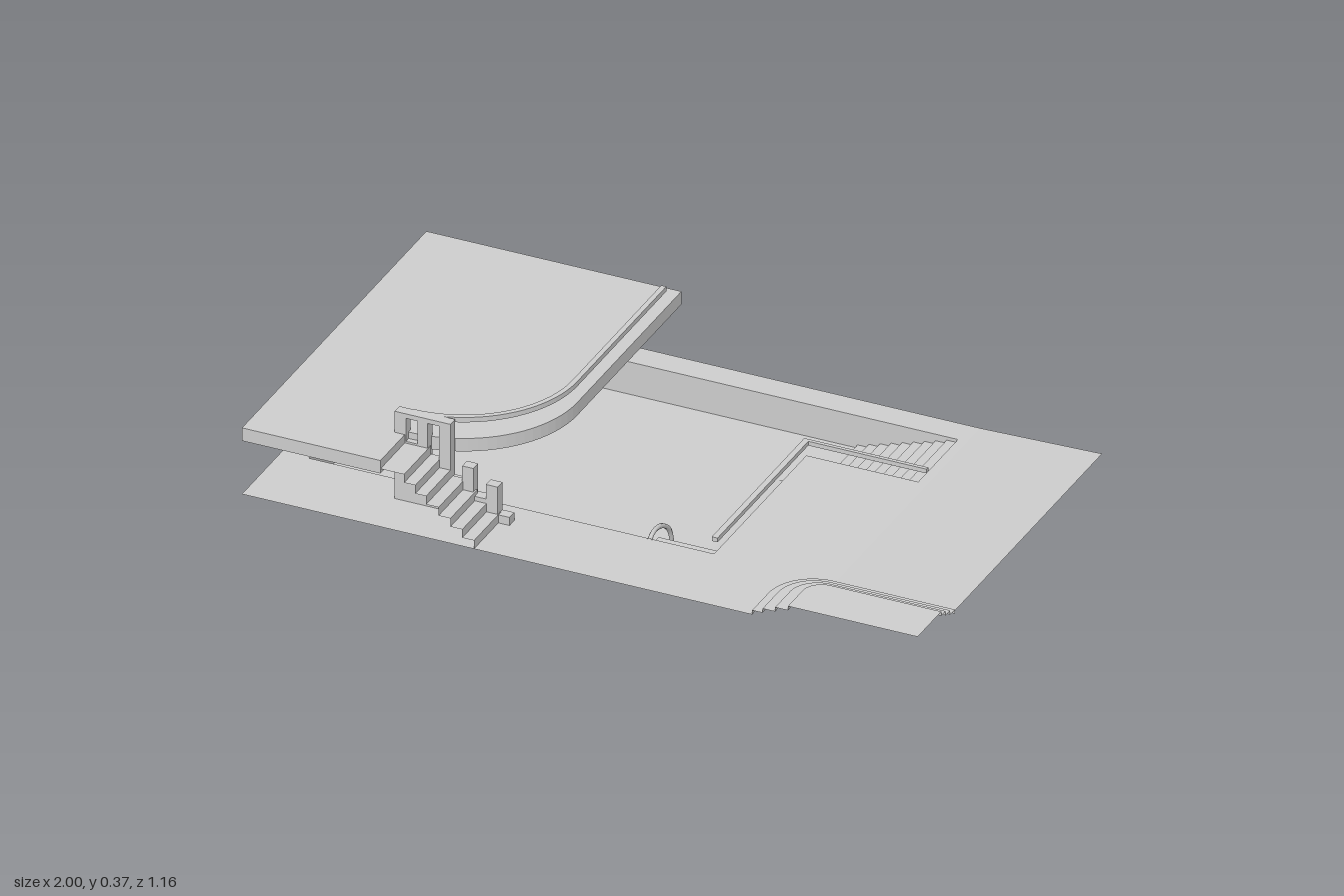
import * as THREE from 'three';

const concrete = new THREE.MeshStandardMaterial({ color: 0xcccccc, side: THREE.DoubleSide });
concrete.name = 'concrete';

export function createModel() {
  const model = new THREE.Group();

  function add(geometry, name) {
    const mesh = new THREE.Mesh(geometry, concrete);
    mesh.name = name;
    model.add(mesh);
    return mesh;
  }
  function box(name, x0, x1, y0, y1, z0, z1) {
    add(new THREE.BoxGeometry(x1 - x0, y1 - y0, z1 - z0), name)
      .position.set((x0 + x1) / 2, (y0 + y1) / 2, (z0 + z1) / 2);
  }
  // Plan outline given as [x, z]
  function planShape(points, hole) {
    const toV = ([x, z]) => new THREE.Vector2(x, -z);
    const shape = new THREE.Shape(points.map(toV));
    if (hole) shape.holes.push(new THREE.Path(hole.map(toV)));
    return shape;
  }
  function flat(name, points, y, hole) {
    const g = new THREE.ShapeGeometry(planShape(points, hole)).rotateX(-Math.PI / 2).translate(0, y, 0);
    return add(g, name);
  }
  function slab(name, points, y, height) {
    const g = new THREE.ExtrudeGeometry(planShape(points), { depth: height, bevelEnabled: false });
    add(g.rotateX(-Math.PI / 2).translate(0, y, 0), name);
  }
  // Open sheet lofted through rows of [x, y, z]
  function sheet(name, rows) {
    const n = rows[0].length, index = [];
    for (let r = 0; r < rows.length - 1; r++) {
      for (let c = 0; c < n - 1; c++) {
        const a = r * n + c, b = a + n;
        index.push(a, a + 1, b, b, a + 1, b + 1);
      }
    }
    const g = new THREE.BufferGeometry();
    g.setAttribute('position', new THREE.Float32BufferAttribute(rows.flat(2), 3));
    g.setIndex(index);
    g.computeVertexNormals();
    add(g, name);
  }
  // Each pair of rows becomes its own sheet, so step edges stay sharp
  function steps(name, rows) {
    for (let i = 0; i < rows.length - 1; i++) sheet(name, [rows[i], rows[i + 1]]);
  }
  function wall(name, x0, z0, x1, z1) {
    sheet(name, [[[x0, 0, z0], [x1, 0, z1]], [[x0, 0.1, z0], [x1, 0.1, z1]]]);
  }

  // Rounded corner terrace edges, outermost first
  const edges = [[0.51, 0.345], [0.541, 0.375], [0.578, 0.404], [0.616, 0.431]].map(([x, z], i) => {
    const r = 0.13 - 0.025 * i, pts = [[x, 0.58]];
    for (let k = 0; k <= 12; k++) {
      const a = (k / 12) * Math.PI / 2;
      pts.push([x + r - r * Math.cos(a), z + r - r * Math.sin(a)]);
    }
    pts.push([1, z]);
    return pts;
  });
  const terraceRows = [];
  edges.forEach((edge, i) => {
    for (const y of [0.1 + 0.013 * i, 0.113 + 0.013 * i]) {
      terraceRows.push(edge.map(([x, z]) => [x, y, z]));
    }
  });
  steps('terraceStep', terraceRows);
  flat('terraceTop', [...edges[3], [1, 0.58]], 0.152);

  // Ground with the pit opening; the right strip rises slightly
  const pit = [[-0.92, -0.5], [0.638, -0.5], [0.638, -0.25], [0.28, -0.25], [0.28, 0.33], [-0.92, 0.33]];
  flat('ground', [[-1, -0.58], [0.64, -0.58], ...edges[0].slice(0, -1).reverse(), [-1, 0.58]], 0.1, pit);
  sheet('groundRamp', [
    [[0.64, 0.1, -0.58], [1, 0.11, -0.58]],
    [[0.64, 0.1, 0.345], [1, 0.11, 0.345]],
  ]);

  // Pit walls and floor
  pit.forEach(([x, z], i) => {
    const [x1, z1] = pit[(i + 1) % pit.length];
    if (i !== 1) wall('pitWall', x, z, x1, z1);
  });
  flat('pitFloor', [[-0.92, -0.5], [0.31, -0.5], [0.31, -0.25], [0.28, -0.25], [0.28, 0.33], [-0.92, 0.33]], 0);

  // Curved banks along the front and right walls
  const frontBank = [], sideBank = [];
  for (let i = 0; i <= 14; i++) {
    const a = (i / 14) * Math.PI / 2;
    const out = 0.1 * (1 - Math.sin(a)), y = 0.1 * (1 - Math.cos(a));
    frontBank.push([[-0.92, y, 0.33 - out], [0.09, y, 0.33 - out]]);
    sideBank.push([[0.28 - out, y, -0.25], [0.28 - out, y, 0.33]]);
  }
  sheet('frontBank', frontBank);
  sheet('sideBank', sideBank);

  // Wide stair into the pit
  const wide = [];
  for (let i = 0; i < 10; i++) {
    const x = 0.314 + 0.033 * i;
    for (const y of [0.01 * i, 0.01 * (i + 1)]) wide.push([[x, y, -0.5], [x, y, -0.25]]);
  }
  wide.push([[0.64, 0.1, -0.5], [0.64, 0.1, -0.25]]);
  steps('pitStair', wide);

  // Small corner stair and its arched handrail
  for (let i = 0; i < 5; i++) {
    box('cornerStep', 0.1, 0.279, 0, 0.018 * (i + 1), 0.205 + 0.023 * i, 0.329);
  }
  const arch = new THREE.CatmullRomCurve3([
    [0.335, 0.1], [0.315, 0.112], [0.27, 0.108], [0.215, 0.07], [0.19, 0.005],
  ].map(([z, y]) => new THREE.Vector3(0.092, y, z)));
  add(new THREE.TubeGeometry(arch, 16, 0.007, 6), 'archRail');

  // Straight rails beside the pit
  box('sideRail', 0.273, 0.29, 0.138, 0.151, -0.25, 0.33);
  box('backRail', 0.273, 0.64, 0.138, 0.151, -0.252, -0.241);

  // Raised deck with a sweeping corner
  function sweep(r) {
    const pts = [];
    for (let i = 0; i <= 20; i++) {
      const a = (i / 20) * Math.PI / 2;
      pts.push([-0.58 + r * Math.cos(a), 0.075 + r * Math.sin(a)]);
    }
    return pts;
  }
  slab('deck', [[-1, -0.58], [-0.245, -0.58], ...sweep(0.335), [-0.59, 0.41], [-0.59, 0.58], [-1, 0.58]],
    0.265, 0.04);
  slab('deckRail', [[-0.245, -0.485], ...sweep(0.335), ...sweep(0.32).reverse(), [-0.26, -0.485]], 0.355, 0.015);

  // Stair from the deck to the ground
  const treadX = [-0.59, -0.52, -0.487, -0.455, -0.418, -0.383, -0.348, -0.313, -0.28];
  const flight = [];
  treadX.forEach((x, i) => {
    const y = 0.305 - 0.0256 * i;
    flight.push([[x, y, 0.41], [x, y, 0.58]]);
    if (i < 8) flight.push([[x, y - 0.0256, 0.41], [x, y - 0.0256, 0.58]]);
  });
  steps('deckStair', flight);

  // Stepped stair wall with posts and openings
  const v = ([x, y]) => new THREE.Vector2(x, y);
  const side = new THREE.Shape([
    [-0.62, 0.1], [-0.28, 0.1], [-0.28, 0.125], [-0.315, 0.125], [-0.315, 0.21], [-0.35, 0.21],
    [-0.35, 0.165], [-0.387, 0.165], [-0.387, 0.25], [-0.42, 0.25], [-0.42, 0.2], [-0.455, 0.2],
    [-0.455, 0.37], [-0.62, 0.37],
  ].map(v));
  for (const [x0, x1, y0, y1] of [[-0.587, -0.553, 0.285, 0.356], [-0.522, -0.488, 0.245, 0.356]]) {
    side.holes.push(new THREE.Path([[x0, y0], [x0, y1], [x1, y1], [x1, y0]].map(v)));
  }
  add(new THREE.ExtrudeGeometry(side, { depth: 0.03, bevelEnabled: false }).translate(0, 0, 0.397), 'stairWall');

  return model;
}
